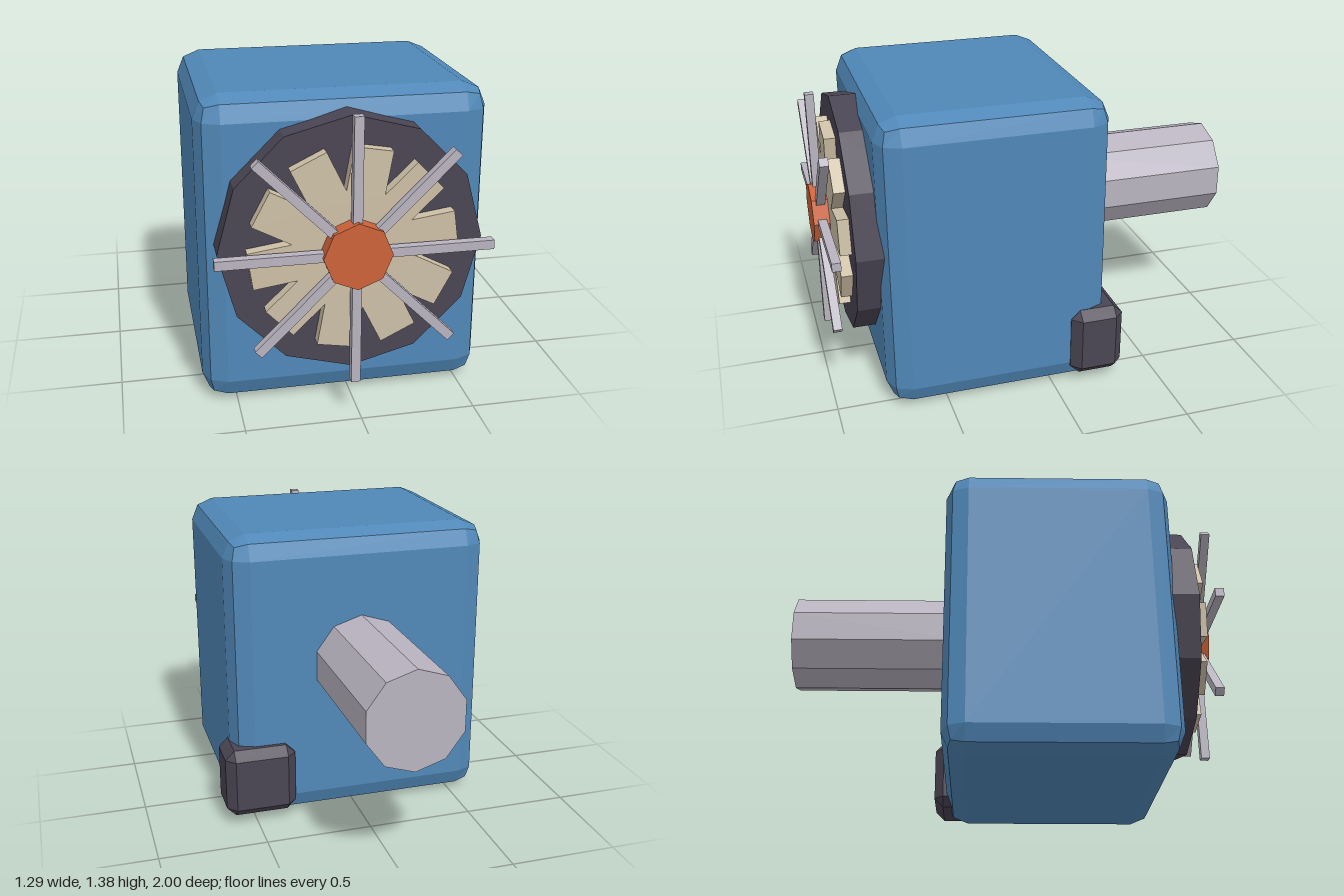
import * as THREE from 'three';
import { RoundedBoxGeometry } from 'three/addons/geometries/RoundedBoxGeometry.js';
import { ConvexGeometry } from 'three/addons/geometries/ConvexGeometry.js';

const CX = -0.023, CY = 0.752; // shared axis of fan and shaft

function material(name, color) {
  const m = new THREE.MeshStandardMaterial({ color });
  m.name = name;
  return m;
}

// Give a geometry faceted normals
function faceted(geo) {
  const g = geo.index ? geo.toNonIndexed() : geo;
  g.computeVertexNormals();
  return g;
}

// Faceted prism along z, from z0 to z1
function prism(radius, sides, z0, z1) {
  const g = new THREE.CylinderGeometry(radius, radius, z1 - z0, sides);
  g.rotateX(Math.PI / 2);
  g.translate(CX, CY, (z0 + z1) / 2);
  return faceted(g);
}

// Box with all edges chamfered by c
function chamferBox(w, h, d, c) {
  const points = [];
  for (const sx of [-1, 1]) for (const sy of [-1, 1]) for (const sz of [-1, 1])
    for (let full = 0; full < 3; full++) {
      const cut = [c, c, c];
      cut[full] = 0;
      points.push(new THREE.Vector3(
        sx * (w / 2 - cut[0]), sy * (h / 2 - cut[1]), sz * (d / 2 - cut[2])));
    }
  return new ConvexGeometry(points);
}

// Star of straight radial blades
function bladeGeometry(count, reach, width, depth) {
  const step = (2 * Math.PI) / count, h = width / 2;
  const notch = h / Math.sin(step / 2);
  const points = [];
  for (let i = 0; i < count; i++) {
    const a = THREE.MathUtils.degToRad(8) + i * step;
    const c = Math.cos(a), s = Math.sin(a);
    points.push(new THREE.Vector2(reach * c + h * s, reach * s - h * c));
    points.push(new THREE.Vector2(reach * c - h * s, reach * s + h * c));
    points.push(new THREE.Vector2(notch * Math.cos(a + step / 2), notch * Math.sin(a + step / 2)));
  }
  return new THREE.ExtrudeGeometry(new THREE.Shape(points), { depth, bevelEnabled: false });
}

export function createModel() {
  const blue = material('blue paint', 0x5088b8);
  const dark = material('dark plastic', 0x4a4553);
  const beige = material('beige blades', 0xcdc0a7);
  const orange = material('orange hub', 0xcc6239);
  const grey = material('grey metal', 0xb9b4c0);

  const model = new THREE.Group();
  model.name = 'fanMotor';
  const add = (name, geo, mat, x = 0, y = 0, z = 0) => {
    const mesh = new THREE.Mesh(geo, mat);
    mesh.name = name;
    mesh.position.set(x, y, z);
    model.add(mesh);
    return mesh;
  };

  // Housing and rear shaft
  add('housing', faceted(new RoundedBoxGeometry(1.245, 1.375, 1.04, 1, 0.105)), blue, CX, 0.6875, 0.25);
  add('rearShaft', prism(0.228, 10, -1, -0.2), grey);

  // Fan: backing disc, blades, hub
  add('backingDisc', prism(0.561, 12, 0.6, 0.875), dark);
  add('fanBlades', bladeGeometry(10, 0.437, 0.163, 0.065), beige, CX, CY, 0.862);
  add('hub', prism(0.145, 8, 0.9, 1), orange);

  // Guard bars crossing the axis
  for (let i = 0; i < 4; i++) {
    const bar = add('guardBar', new THREE.BoxGeometry(1.164, 0.04, 0.04), grey, CX, CY, 0.96);
    bar.rotation.z = (i * Math.PI) / 4;
  }

  // Small box on the lower rear corner
  add('cornerBox', chamferBox(0.335, 0.335, 0.25, 0.043), dark, 0.477, 0.212, -0.207);

  return model;
}
